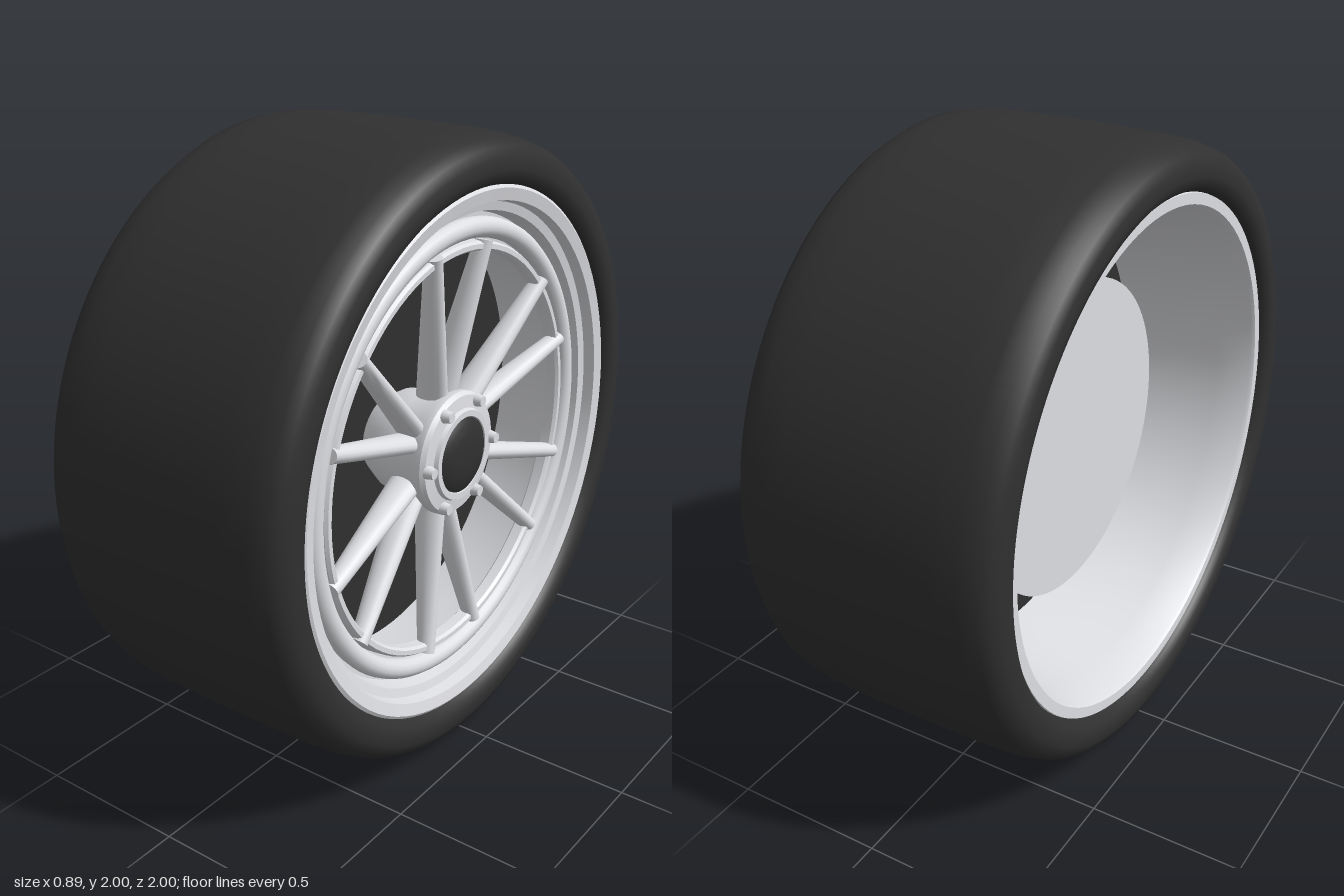
import * as THREE from 'three';
import { toCreasedNormals } from 'three/addons/utils/BufferGeometryUtils.js';

export function createModel() {
  const black = new THREE.MeshStandardMaterial({ color: 0x303030 });
  black.name = 'black rubber';
  const silver = new THREE.MeshStandardMaterial({ color: 0xdddee2 });
  silver.name = 'silver metal';

  const wheel = new THREE.Group();
  wheel.name = 'wheel';
  wheel.position.y = 1;

  const add = (name, geometry, material, parent = wheel) => {
    const mesh = new THREE.Mesh(geometry, material);
    mesh.name = name;
    parent.add(mesh);
    return mesh;
  };

  // Turns a profile of [radius, x] points around the axle
  const turn = (name, points, material, segments = 96, crease = 0.5) => {
    const g = new THREE.LatheGeometry(points.map(([r, x]) => new THREE.Vector2(r, x)), segments);
    g.rotateZ(-Math.PI / 2);
    return add(name, toCreasedNormals(g, crease), material);
  };

  // Tyre: rounded tread and sidewalls, back to front
  const half = [
    [1, 0], [0.999, 0.14], [0.997, 0.25], [0.991, 0.34], [0.978, 0.395], [0.957, 0.425],
    [0.925, 0.44], [0.89, 0.443], [0.865, 0.437], [0.848, 0.42], [0.838, 0.395],
  ];
  const back = half.slice(1).reverse().map(([r, x]) => [r, -x]);
  turn('tyre', [...back, ...half], black, 128, 1);

  // Barrel: inside of the rim, front to back, ending in the rear lip
  turn('barrel', [
    [0.64, 0.31], [0.69, 0.29], [0.71, 0.2], [0.72, 0.1], [0.735, 0.0], [0.755, -0.14],
    [0.78, -0.28], [0.797, -0.4], [0.805, -0.412], [0.84, -0.412], [0.845, -0.39],
  ], silver);

  // Stepped outer lip of the rim
  turn('rimLip', [
    [0.85, 0.39], [0.845, 0.413], [0.835, 0.42], [0.797, 0.412], [0.79, 0.375],
    [0.762, 0.368], [0.752, 0.31], [0.67, 0.305], [0.666, 0.345], [0.659, 0.355],
    [0.644, 0.355], [0.637, 0.345], [0.637, 0.31], [0.65, 0.3],
  ], silver);
  const ring = new THREE.TorusGeometry(0.708, 0.033, 14, 96);
  ring.rotateY(Math.PI / 2);
  ring.translate(0.335, 0, 0);
  add('rimRing', ring, silver);

  // Closed backing plate and brake disc behind the spokes
  turn('backingPlate', [[0, 0.065], [0.725, 0.065], [0.725, 0.08], [0, 0.08]], black);
  turn('brakeDisc', [[0, -0.13], [0.53, -0.13], [0.53, 0.065], [0, 0.065]], silver);

  // Hub with raised face, and domed centre cap
  turn('hub', [
    [0.13, 0.08], [0.165, 0.14], [0.18, 0.22], [0.188, 0.3], [0.2, 0.325], [0.2, 0.345],
    [0.19, 0.36], [0.15, 0.365], [0.145, 0.378], [0.125, 0.378], [0.12, 0.35], [0, 0.35],
  ], silver, 48);
  turn('centreCap', [
    [0.122, 0.35], [0.122, 0.375], [0.105, 0.386], [0.07, 0.394], [0.035, 0.398], [0, 0.399],
  ], black, 48, 0.9);

  // Point on the wheel face at an angle, radius and depth
  const polar = (deg, r, x) => {
    const a = THREE.MathUtils.degToRad(deg);
    return new THREE.Vector3(x, r * Math.sin(a), -r * Math.cos(a));
  };

  // Oval spoke, deeper at the hub and slimmer at the rim
  const spokeGeometry = (start, end) => {
    const g = new THREE.CylinderGeometry(1, 1, 1, 16, 6);
    const axle = new THREE.Vector3(1, 0, 0);
    const side = end.clone().sub(start).normalize().cross(axle).normalize();
    const p = g.attributes.position;
    for (let i = 0; i < p.count; i++) {
      const t = p.getY(i) + 0.5;
      const v = start.clone().lerp(end, t)
        .addScaledVector(side, p.getX(i) * THREE.MathUtils.lerp(0.032, 0.025, t))
        .addScaledVector(axle, p.getZ(i) * THREE.MathUtils.lerp(0.058, 0.03, t));
      p.setXYZ(i, v.x, v.y, v.z);
    }
    return toCreasedNormals(g, 0.9);
  };

  // Six pairs of spokes with a lug nut between neighbouring pairs
  const spokes = new THREE.Group();
  spokes.name = 'spokes';
  const nuts = new THREE.Group();
  nuts.name = 'lugNuts';
  wheel.add(spokes, nuts);
  for (let k = 0; k < 6; k++) {
    const mid = 30 + k * 60;
    for (const s of [-1, 1]) {
      add('spoke', spokeGeometry(polar(mid + s * 6.5, 0.15, 0.265), polar(mid + s * 11.8, 0.67, 0.34)), silver, spokes);
    }
    const nut = new THREE.CylinderGeometry(0.017, 0.022, 0.03, 12);
    nut.rotateZ(-Math.PI / 2);
    add('lugNut', nut, silver, nuts).position.copy(polar(k * 60, 0.178, 0.373));
  }

  const model = new THREE.Group();
  model.name = 'wheelModel';
  model.add(wheel);
  return model;
}
